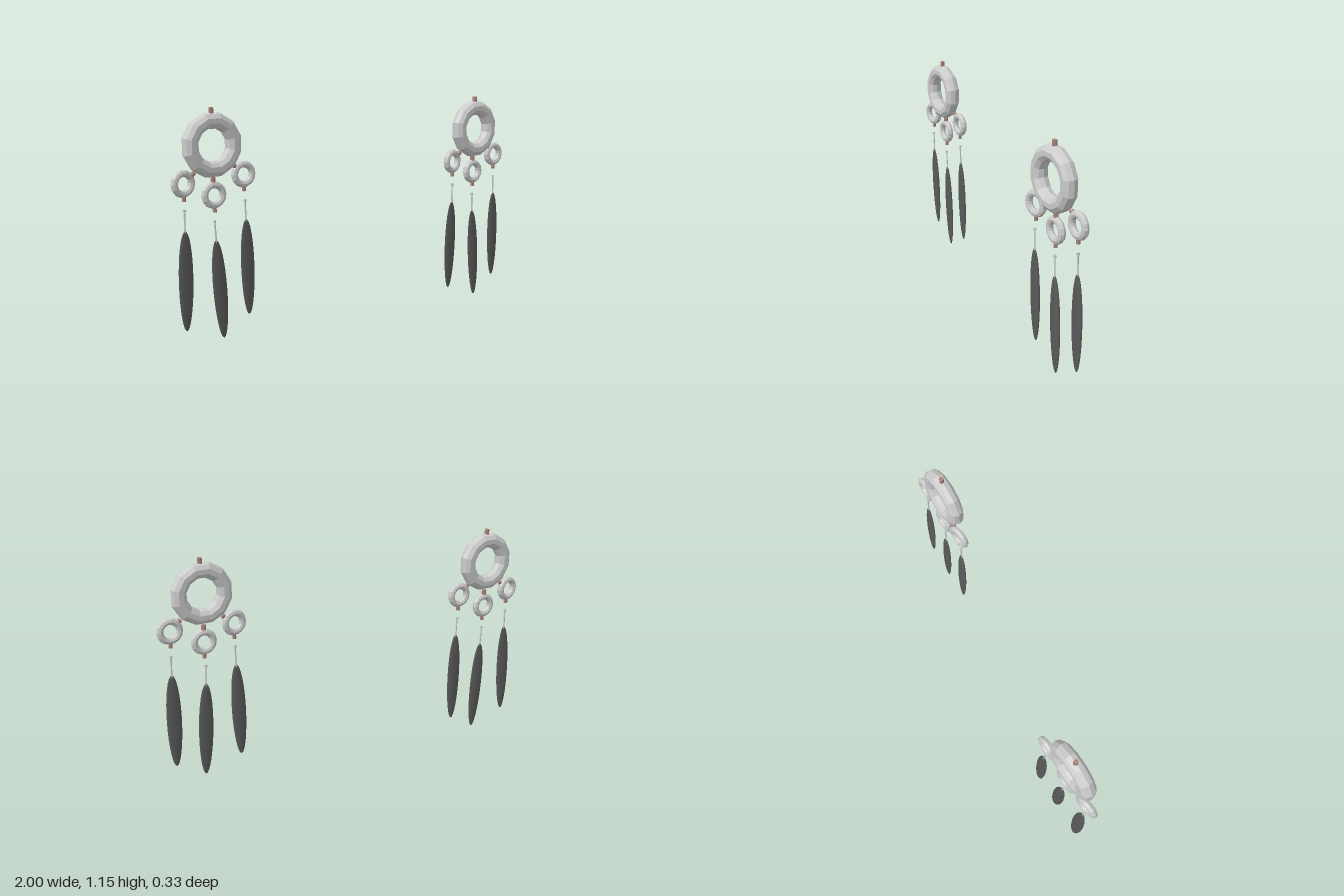
import * as THREE from 'three';

const grey = new THREE.MeshStandardMaterial({ color: 0xcccccc, flatShading: true });
const copper = new THREE.MeshStandardMaterial({ color: 0xa98478, flatShading: true });
const dark = new THREE.MeshStandardMaterial({ color: 0x5a5a5a });

function add(parent, name, geometry, material, x = 0, y = 0, z = 0) {
  const mesh = new THREE.Mesh(geometry, material);
  mesh.name = name;
  mesh.position.set(x, y, z);
  parent.add(mesh);
  return mesh;
}

// Cylinder stretched between two points
function rod(parent, name, a, b, radius, material, sides = 8) {
  const from = new THREE.Vector3(...a), dir = new THREE.Vector3(...b).sub(from);
  const mesh = add(parent, name, new THREE.CylinderGeometry(radius, radius, dir.length(), sides), material);
  mesh.position.copy(from).addScaledVector(dir, 0.5);
  mesh.quaternion.setFromUnitVectors(new THREE.Vector3(0, 1, 0), dir.normalize());
  return mesh;
}

// Thin pointed blade: half-width w(t) along its length, lens-shaped across
function bladeGeometry(length) {
  const geometry = new THREE.SphereGeometry(1, 12, 16);
  const p = geometry.attributes.position;
  for (let i = 0; i < p.count; i++) {
    const y = p.getY(i), taper = 1 + 0.05 * y;
    p.setXYZ(i, p.getX(i) * 0.039 * taper, y * length / 2, p.getZ(i) * 0.011 * taper);
  }
  geometry.computeVertexNormals();
  return geometry;
}

// Each pendant: ring centre, link to the hoop, and feather top / shoulder / tip
const pendants = [
  { ring: [-0.168, 0.803], link: [-0.108, 0.85], turn: 0.15,
    top: [-0.168, 0.675, -0.009], shoulder: [-0.168, 0.575, -0.01], tip: [-0.168, 0.075, -0.026] },
  { ring: [-0.005, 0.732], link: [-0.008, 0.82], turn: 0,
    top: [-0.006, 0.603, -0.012], shoulder: [-0.001, 0.507, -0.012], tip: [0.029, 0.003, -0.012] },
  { ring: [0.163, 0.818], link: [0.107, 0.868], turn: 0,
    top: [0.168, 0.687, -0.012], shoulder: [0.172, 0.59, -0.012], tip: [0.183, 0.094, -0.018] },
];

function feather({ top, shoulder, tip }) {
  const group = new THREE.Group();
  group.name = 'feather';
  const a = new THREE.Vector3(...shoulder), b = new THREE.Vector3(...tip);
  const blade = add(group, 'featherBlade', bladeGeometry(a.distanceTo(b)), dark);
  blade.position.copy(a).add(b).multiplyScalar(0.5);
  blade.quaternion.setFromUnitVectors(new THREE.Vector3(0, 1, 0), a.clone().sub(b).normalize());
  rod(group, 'quill', top, a.clone().lerp(b, 0.08).toArray(), 0.004, grey, 6);
  add(group, 'quillHead', new THREE.CylinderGeometry(0.008, 0.008, 0.01, 8), grey, ...top);
  return group;
}

function earring() {
  const group = new THREE.Group();
  group.name = 'earring';

  // Main hoop with its hanging peg
  const hoop = add(group, 'hoop', new THREE.TorusGeometry(0.119, 0.04, 10, 12), grey, -0.014, 0.976, 0);
  hoop.rotation.z = Math.PI / 12;
  add(group, 'topPeg', new THREE.CylinderGeometry(0.012, 0.012, 0.05, 8), copper, -0.014, 1.129, 0);

  // Small rings, their pegs and the feathers below
  for (const pendant of pendants) {
    const [x, y] = pendant.ring, z = -0.0125;
    const ring = add(group, 'smallRing', new THREE.TorusGeometry(0.05, 0.0175, 8, 14), grey, x, y, z);
    ring.rotation.y = pendant.turn;

    const inward = new THREE.Vector2(...pendant.link).sub(new THREE.Vector2(x, y)).setLength(0.055);
    rod(group, 'linkPeg', [x + inward.x, y + inward.y, z], [...pendant.link, z], 0.012, copper);
    add(group, 'lowerPeg', new THREE.CylinderGeometry(0.01, 0.01, 0.03, 8), copper, x + 0.002, y - 0.07, z);
    group.add(feather(pendant));
  }
  return group;
}

export function createModel() {
  const model = new THREE.Group();
  model.name = 'earringPair';
  for (const side of [-1, 1]) {
    const piece = earring();
    piece.name = side < 0 ? 'rightEarring' : 'leftEarring';
    piece.position.set(side * 0.765, 0, side * 0.125);
    model.add(piece);
  }
  return model;
}
